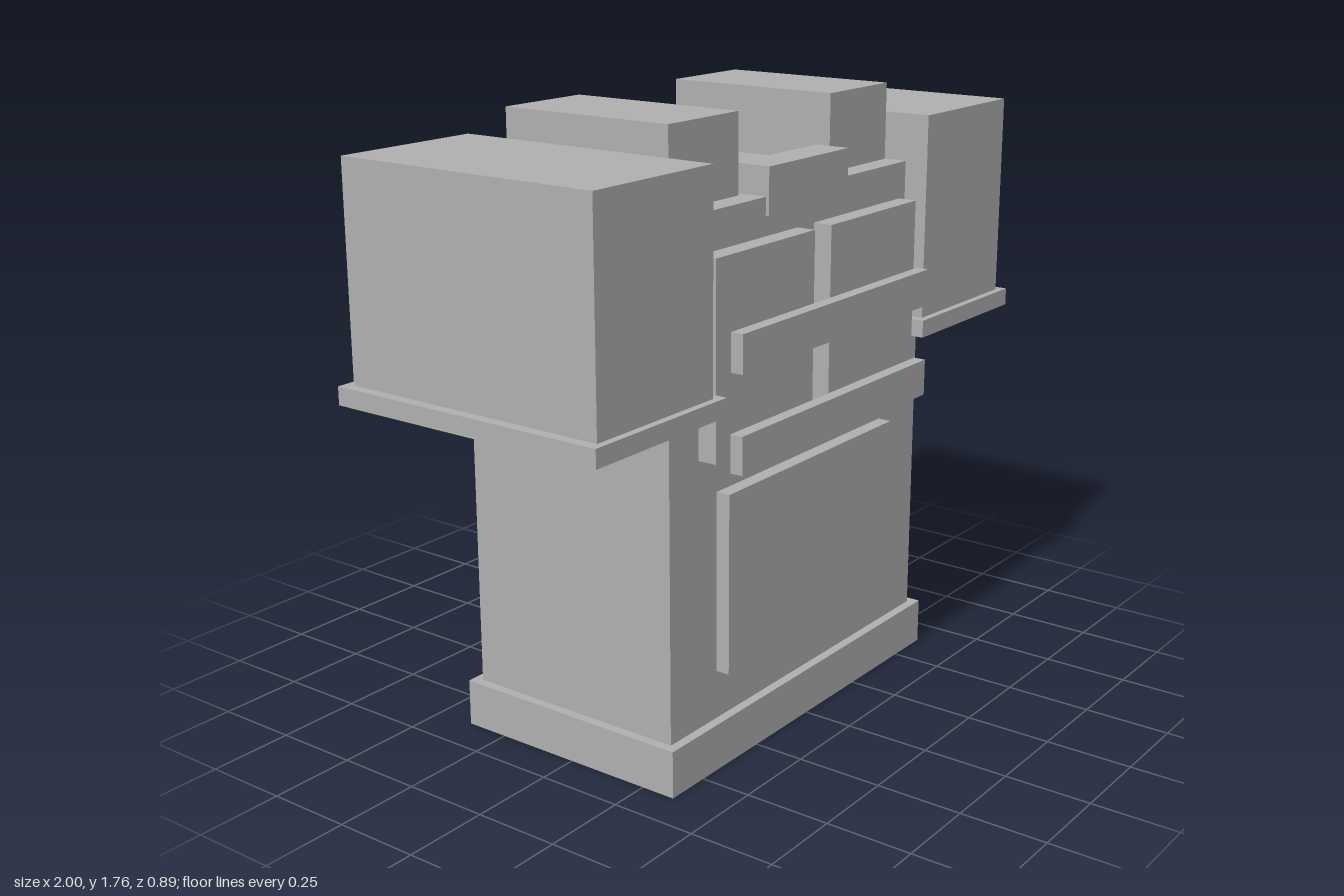
import * as THREE from 'three';

export function createModel() {
  const model = new THREE.Group();
  const grey = new THREE.MeshStandardMaterial({ color: 0xb0b0b0 });
  grey.name = 'grey';

  // Box given by its extents along each axis
  const block = (name, [x0, x1], [y0, y1], [z0, z1]) => {
    const mesh = new THREE.Mesh(new THREE.BoxGeometry(x1 - x0, y1 - y0, z1 - z0), grey);
    mesh.name = name;
    mesh.position.set((x0 + x1) / 2, (y0 + y1) / 2, (z0 + z1) / 2);
    model.add(mesh);
  };
  const centred = (name, halfWidth, y, z) => block(name, [-halfWidth, halfWidth], y, z);
  const pair = (name, inner, outer, y, z) => {
    block(name + 'Left', [inner, outer], y, z);
    block(name + 'Right', [-outer, -inner], y, z);
  };

  // Body on its wider base
  centred('base', 0.634, [0, 0.135], [-0.38, 0.352]);
  centred('body', 0.607, [0.135, 1.54], [-0.352, 0.325]);

  // Shoulder blocks with flared rims underneath
  pair('shoulder', 0.516, 0.97, [1.083, 1.677], [-0.418, 0.396]);
  pair('shoulderRim', 0.487, 1, [1.032, 1.083], [-0.445, 0.417]);

  // Raised collar and neck
  pair('collar', 0.217, 0.513, [1.54, 1.76], [-0.282, 0.256]);
  centred('neckPlate', 0.217, [1.54, 1.568], [-0.26, 0.227]);
  centred('collarClasp', 0.19, [1.49, 1.62], [0.23, 0.335]);

  // Panels on the front
  pair('chestPanel', 0.04, 0.484, [0.896, 1.435], [0.325, 0.381]);
  centred('lowerPanel', 0.404, [0.275, 0.788], [0.325, 0.366]);

  // Straps standing clear of the chest
  for (const [name, y] of [['upperStrap', 1.193], ['lowerStrap', 0.924]]) {
    centred(name, 0.457, [y - 0.053, y + 0.053], [0.408, 0.445]);
  }
  return model;
}
